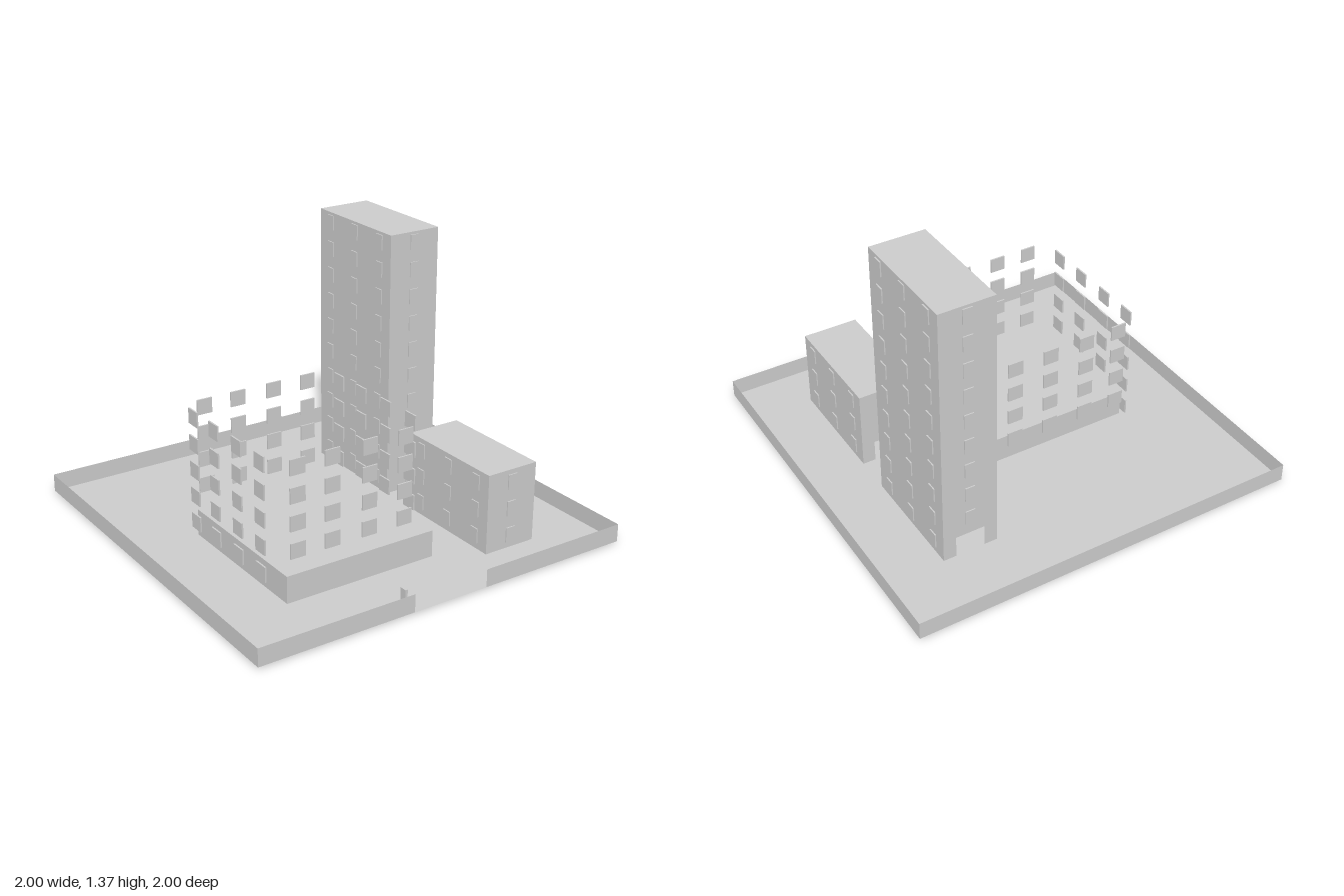
import * as THREE from 'three';

const GROUND = 0.01;
const mat = new THREE.MeshStandardMaterial({ color: 0xcccccc, side: THREE.DoubleSide, flatShading: true });

function add(parent, name, geometry, x, y, z, rotX = 0, rotY = 0) {
  const mesh = new THREE.Mesh(geometry, mat);
  mesh.name = name;
  mesh.position.set(x, y, z);
  mesh.rotation.set(rotX, rotY, 0);
  parent.add(mesh);
  return mesh;
}

function group(parent, name) {
  const g = new THREE.Group();
  g.name = name;
  parent.add(g);
  return g;
}

// Thin upright sheet standing on the ground
function sheet(parent, name, width, height, x, z, turn = 0) {
  add(parent, name, new THREE.PlaneGeometry(width, height), x, GROUND + height / 2, z, 0, turn);
}

// Hollow tower with a doorway at the back and rows of slightly raised windows
function addTower(parent, name, zBack, zFront, top) {
  const tower = group(parent, name);
  const x0 = 0.395, x1 = 0.677, cx = (x0 + x1) / 2;
  const cz = (zBack + zFront) / 2, w = x1 - x0, d = zFront - zBack, h = top - GROUND;

  sheet(tower, 'frontWall', w, h, cx, zFront);
  sheet(tower, 'leftWall', d, h, x1, cz, Math.PI / 2);
  sheet(tower, 'rightWall', d, h, x0, cz, -Math.PI / 2);
  add(tower, 'roof', new THREE.PlaneGeometry(w, d), cx, top, cz, -Math.PI / 2);

  // Back wall outlined around the doorway
  const back = new THREE.Shape();
  back.moveTo(-w / 2, 0);
  back.lineTo(-0.075, 0);
  back.lineTo(-0.075, 0.11);
  back.lineTo(0.075, 0.11);
  back.lineTo(0.075, 0);
  back.lineTo(w / 2, 0);
  back.lineTo(w / 2, h);
  back.lineTo(-w / 2, h);
  add(tower, 'backWall', new THREE.ShapeGeometry(back), cx, GROUND, zBack, 0, Math.PI);

  const pane = new THREE.BoxGeometry(0.05, 0.075, 0.012);
  for (let i = 0; 0.115 + i * 0.1375 < top; i++) {
    const y = 0.078 + i * 0.1375;
    add(tower, 'frontWindow', pane, cx, y, zFront);
    if (i > 0) add(tower, 'backWindow', pane, cx, y, zBack);
    for (const offset of [-0.21, 0, 0.21])
      for (const x of [x0, x1])
        add(tower, 'sideWindow', pane, x, y, cz + offset, 0, Math.PI / 2);
  }
}

export function createModel() {
  const model = new THREE.Group();
  model.name = 'buildingComplex';

  // Ground and perimeter wall, with an entrance gap at the front
  const plot = group(model, 'plot');
  add(plot, 'ground', new THREE.PlaneGeometry(2, 2), 0, GROUND, 0, -Math.PI / 2);
  const wallHeight = 0.09;
  sheet(plot, 'backPerimeterWall', 2, wallHeight, 0, -1);
  for (const s of [-1, 1]) {
    sheet(plot, 'sidePerimeterWall', 2, wallHeight, s, 0, Math.PI / 2);
    sheet(plot, 'frontPerimeterWall', 0.8, wallHeight, s * 0.6, 1);
  }
  add(plot, 'gatePost', new THREE.BoxGeometry(0.012, 0.09, 0.036), -0.2, 0.045, 0.918);

  addTower(model, 'tallTower', -0.64, -0.035, 1.367);
  addTower(model, 'lowTower', 0.157, 0.757, 0.415);

  // Low block surrounded by free-standing window panes
  const hall = group(model, 'hall');
  add(hall, 'hallBlock', new THREE.BoxGeometry(0.8, 0.135, 0.797), -0.226, 0.0775, 0.232);
  const pane = new THREE.BoxGeometry(0.08, 0.077, 0.008);
  for (let row = 0; row < 5; row++) {
    const y = 0.078 + row * 0.1355;
    for (const z of [-0.168, 0.022, 0.225, 0.422])
      for (const x of [-0.632, 0.19])
        add(hall, 'sideWindow', pane, x, y, z, 0, Math.PI / 2);
    if (row === 0) continue;
    for (const x of [-0.518, -0.334, -0.132, 0.065])
      for (const z of [-0.265, 0.553])
        add(hall, 'endWindow', pane, x, y, z);
  }
  return model;
}
